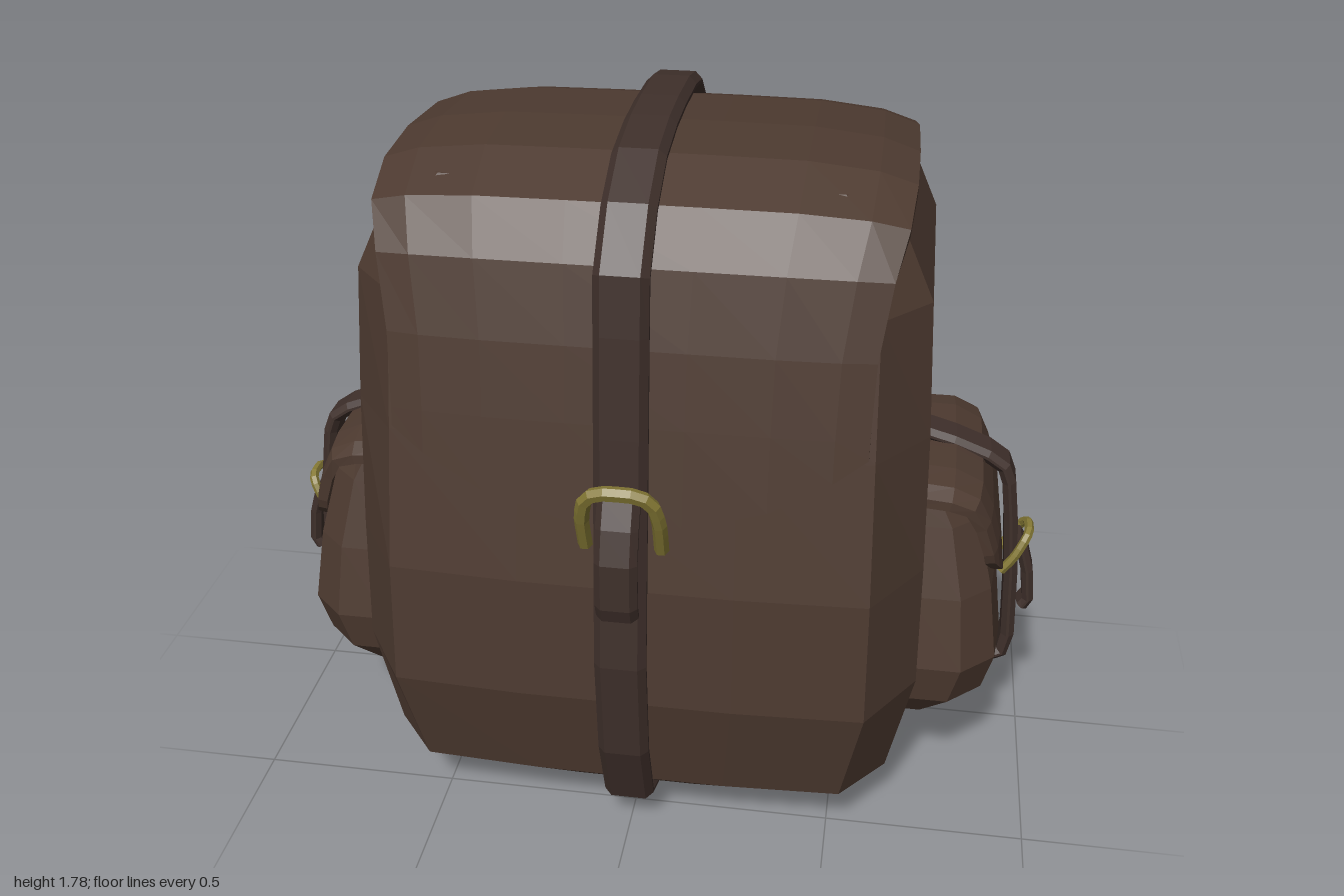
import * as THREE from 'three';

const leather = new THREE.MeshStandardMaterial({ color: 0x4d3a30, flatShading: true, side: THREE.DoubleSide });
const strapLeather = new THREE.MeshStandardMaterial({ color: 0x3f302b, flatShading: true, side: THREE.DoubleSide });
const brass = new THREE.MeshStandardMaterial({ color: 0x857935, flatShading: true, side: THREE.DoubleSide });

function part(name, geometry, material) {
  const mesh = new THREE.Mesh(geometry, material);
  mesh.name = name;
  return mesh;
}

// Skin equal-length rings of [x, y, z]; open lofts get end caps, faces always point outward
function loft(rings, closed = false) {
  const n = rings[0].length, m = rings.length;
  const pos = rings.flat(), tris = [];
  for (let i = 0; i < (closed ? m : m - 1); i++) {
    for (let j = 0; j < n; j++) {
      const a = i * n + j, b = i * n + (j + 1) % n;
      const c = ((i + 1) % m) * n + j, d = ((i + 1) % m) * n + (j + 1) % n;
      tris.push([a, c, b], [b, c, d]);
    }
  }
  if (!closed) {
    // caps are zipped across so long thin rings stay clean
    for (const [base, flip] of [[0, false], [(m - 1) * n, true]]) {
      for (let lo = 0, hi = n - 1; lo < hi - 1;) {
        const t = [base + lo, base + lo + 1, base + hi];
        tris.push(flip ? [t[0], t[2], t[1]] : t);
        lo++;
        if (lo < hi - 1) {
          const s = [base + lo, base + hi - 1, base + hi];
          tris.push(flip ? [s[0], s[2], s[1]] : s);
          hi--;
        }
      }
    }
  }
  const v = pos.map(p => new THREE.Vector3(...p));
  const volume = tris.reduce((s, [a, b, c]) => s + v[a].dot(v[b].clone().cross(v[c])), 0);
  if (volume < 0) tris.forEach(t => t.reverse());
  const g = new THREE.BufferGeometry();
  g.setAttribute('position', new THREE.Float32BufferAttribute(pos.flat(), 3));
  g.setIndex(tris.flat());
  g.computeVertexNormals();
  return g;
}

// Horizontal bag section: a chamfered rectangle with a slightly bowed front and back
function bagRing([y, hx, front, back, cx, cz]) {
  const fx = hx - cx, bow = 0.015;
  const half = [[fx * 0.45, front], [fx, front - bow], [hx, front - cz], [hx, back + cz], [fx, back + bow], [fx * 0.45, back]];
  return [...half.map(([x, z]) => [x, y, z]), ...half.reverse().map(([x, z]) => [-x, y, z])];
}

// Outward normals of a [z, y] path (outward lies to the right of travel)
function pathNormals(path, closed) {
  const n = path.length;
  return path.map((p, i) => {
    const a = path[closed ? (i + n - 1) % n : Math.max(i - 1, 0)];
    const b = path[closed ? (i + 1) % n : Math.min(i + 1, n - 1)];
    const dz = b[0] - a[0], dy = b[1] - a[1], l = Math.hypot(dz, dy);
    return [dy / l, -dz / l];
  });
}

// Bevelled band along the outer edge path of [z, y, x]
function band(path, width, thick, closed = false) {
  const normals = pathNormals(path, closed), w = width / 2, b = Math.min(w, thick) * 0.4;
  const section = [[-w + b, 0], [w - b, 0], [w, -b], [w, -thick + b], [w - b, -thick], [-w + b, -thick], [-w, -thick + b], [-w, -b]];
  return loft(path.map(([z, y, x = 0], i) =>
    section.map(([u, d]) => [x + u, y + normals[i][1] * d, z + normals[i][0] * d])), closed);
}

// Draped lid: rows of [z, y, halfWidth] from the free front edge upward, the front edge rising at its sides
function flap(rows, thick, droop, rise) {
  const normals = pathNormals(rows, false);
  const us = [-1, -0.86, -0.6, -0.25, 0.25, 0.6, 0.86, 1];
  return loft(rows.map(([z, y, hx], i) => {
    const [nz, ny] = normals[i];
    const at = (u, depth) => {
      const lift = i === 0 ? rise * Math.abs(u) ** 2.2 : 0;
      const k = depth + droop * Math.abs(u) ** 6 * (0.4 + 0.6 * Math.max(ny, 0));
      return [u * hx, y + lift - ny * k, z - nz * k - lift * 0.15];
    };
    return [...us.map(u => at(u, 0)), ...us.slice().reverse().map(u => at(u, thick))];
  }));
}

// Arched buckle from one leg's [x, y, z] points, mirrored across x
function buckle(leg, radius) {
  const pts = [...leg.map(([x, y, z]) => [-x, y, z]), ...leg.slice().reverse()];
  const curve = new THREE.CatmullRomCurve3(pts.map(p => new THREE.Vector3(...p)), false, 'catmullrom', 0.3);
  return new THREE.TubeGeometry(curve, 16, radius, 6);
}

// Side pocket, built facing +z with z as distance from the bag's middle
function makePocket() {
  const pocket = new THREE.Group();
  pocket.add(part('pocketBody', loft([
    [0.24, 0.27, 0.80, 0.58, 0.07, 0.08],
    [0.32, 0.33, 0.885, 0.58, 0.08, 0.10],
    [0.43, 0.35, 0.91, 0.58, 0.08, 0.10],
    [0.62, 0.315, 0.885, 0.58, 0.07, 0.09],
    [0.80, 0.27, 0.84, 0.58, 0.06, 0.08],
    [0.88, 0.25, 0.78, 0.58, 0.05, 0.06],
  ].map(bagRing)), leather));
  pocket.add(part('pocketFlap', flap([
    [0.908, 0.58, 0.25], [0.885, 0.73, 0.26], [0.862, 0.81, 0.27],
    [0.83, 0.88, 0.28], [0.76, 0.915, 0.285], [0.64, 0.92, 0.275],
  ], 0.025, 0.035, 0.12), leather));
  pocket.add(part('pocketStrap', band([
    [0.62, 0.21], [0.76, 0.215], [0.87, 0.23], [0.945, 0.27], [0.96, 0.34], [0.95, 0.54],
    [0.935, 0.70], [0.92, 0.81], [0.90, 0.86], [0.85, 0.895], [0.76, 0.93], [0.69, 0.95], [0.62, 0.955],
  ], 0.1, 0.035), strapLeather));
  pocket.add(part('pocketStrapTongue', band([
    [0.985, 0.42], [1.0, 0.45], [0.99, 0.54], [0.97, 0.61], [0.95, 0.645],
  ], 0.075, 0.03), strapLeather));
  pocket.add(part('pocketBuckle', buckle([
    [0.06, 0.555, 0.905], [0.06, 0.60, 0.935], [0.052, 0.64, 0.955], [0.028, 0.66, 0.968],
  ], 0.012), brass));
  return pocket;
}

export function createModel() {
  const model = new THREE.Group();
  model.name = 'backpack';

  // Main bag: height, half width, front, back, chamfer in x and z
  model.add(part('bagBody', loft([
    [0.06, 0.38, 0.49, -0.28, 0.05, 0.05],
    [0.15, 0.64, 0.59, -0.43, 0.11, 0.15],
    [0.43, 0.70, 0.65, -0.49, 0.12, 0.20],
    [0.75, 0.695, 0.635, -0.485, 0.12, 0.20],
    [1.10, 0.685, 0.58, -0.41, 0.12, 0.17],
    [1.43, 0.667, 0.53, -0.365, 0.11, 0.14],
    [1.60, 0.59, 0.475, -0.33, 0.07, 0.10],
    [1.67, 0.52, 0.40, -0.25, 0.06, 0.08],
  ].map(bagRing)), leather));

  // Lid over the top and upper front
  model.add(part('mainFlap', flap([
    [0.64, 0.925, 0.55], [0.603, 1.17, 0.55], [0.575, 1.35, 0.555], [0.535, 1.53, 0.58], [0.46, 1.65, 0.605],
    [0.30, 1.715, 0.615], [0.10, 1.73, 0.615], [-0.15, 1.715, 0.61], [-0.29, 1.675, 0.60], [-0.345, 1.60, 0.57],
  ], 0.03, 0.05, 0.2), leather));

  // Strap running all the way round the bag
  model.add(part('centreStrap', band([
    [0.08, 1.78], [-0.10, 1.775], [-0.21, 1.755], [-0.33, 1.66], [-0.385, 1.52], [-0.42, 1.2], [-0.48, 0.83],
    [-0.515, 0.53], [-0.49, 0.25], [-0.44, 0.12], [-0.36, 0.045], [-0.2, 0.015], [0, 0.0], [0.31, 0.015],
    [0.49, 0.045], [0.61, 0.10], [0.685, 0.30], [0.715, 0.58], [0.695, 0.82], [0.665, 1.17], [0.645, 1.41],
    [0.63, 1.55], [0.52, 1.675], [0.38, 1.75], [0.22, 1.775],
  ], 0.125, 0.045, true), strapLeather));
  model.add(part('centreStrapTongue', band([
    [0.735, 0.73], [0.75, 0.77], [0.75, 0.89], [0.725, 0.97], [0.695, 1.03],
  ], 0.1, 0.04), strapLeather));
  model.add(part('centreBuckle', buckle([
    [0.09, 0.87, 0.63], [0.09, 0.96, 0.665], [0.078, 1.02, 0.685], [0.045, 1.048, 0.695],
  ], 0.018), brass));

  for (const side of [1, -1]) {
    // Shoulder straps: splayed outward, ends sunk into the back
    model.add(part(side > 0 ? 'leftShoulderStrap' : 'rightShoulderStrap', band([
      [-0.31, 1.58, 0.43], [-0.355, 1.52, 0.43], [-0.405, 1.29, 0.45], [-0.49, 0.98, 0.47], [-0.67, 0.68, 0.50],
      [-0.75, 0.36, 0.515], [-0.67, 0.22, 0.51], [-0.55, 0.195, 0.49], [-0.38, 0.19, 0.46],
    ].map(([z, y, x]) => [z, y, x * side]), 0.165, 0.06), strapLeather));

    const pocket = makePocket();
    pocket.name = side > 0 ? 'leftPocket' : 'rightPocket';
    pocket.rotation.y = side * Math.PI / 2;
    pocket.position.z = 0.05;
    model.add(pocket);
  }
  return model;
}
